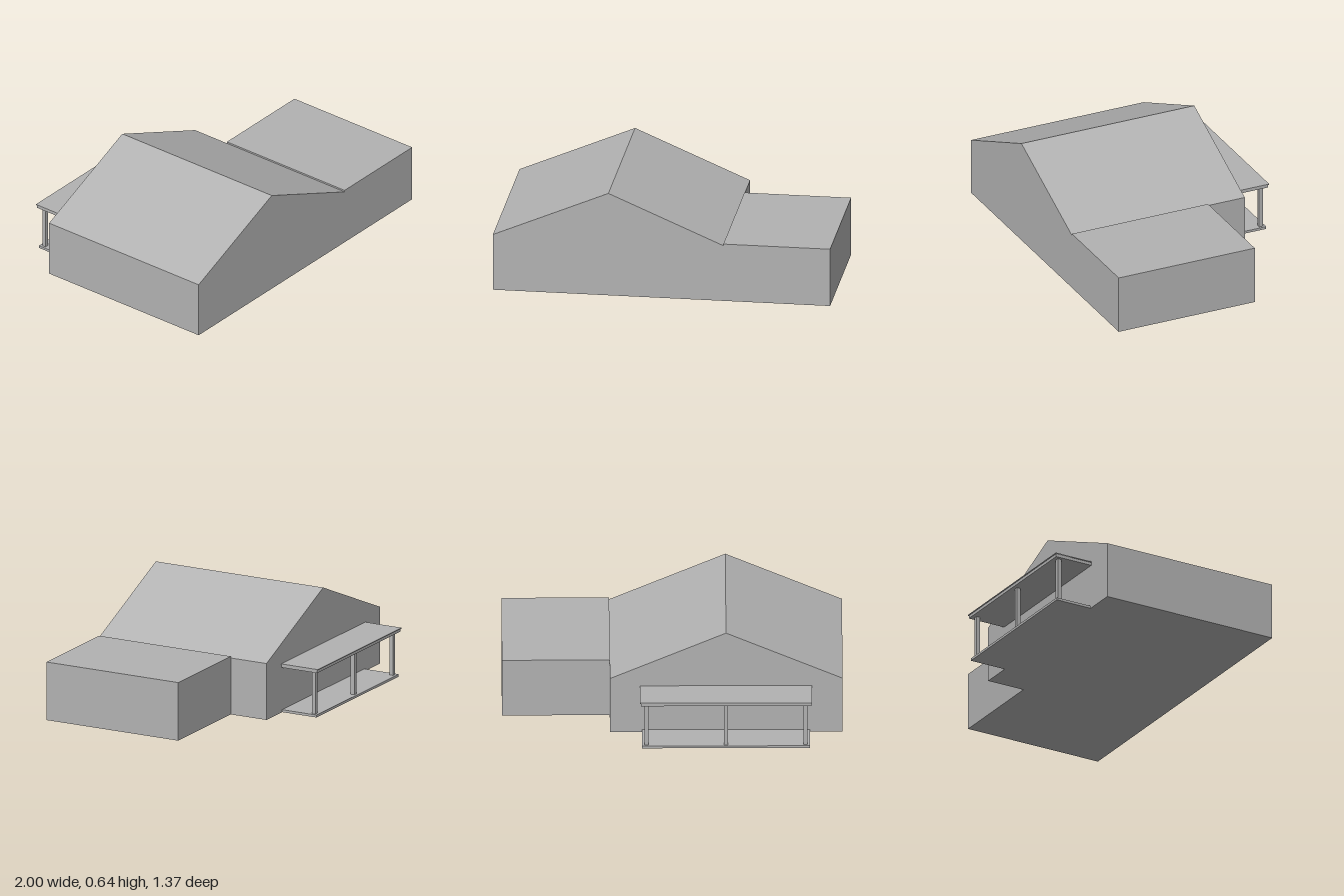
import * as THREE from 'three';

export function createModel() {
  const group = new THREE.Group();
  const grey = new THREE.MeshStandardMaterial({ color: 0xb2b2b2 });
  grey.name = 'plain grey';

  // Box given by its minimum and maximum corners
  function box(name, [x0, y0, z0], [x1, y1, z1]) {
    const mesh = new THREE.Mesh(new THREE.BoxGeometry(x1 - x0, y1 - y0, z1 - z0), grey);
    mesh.position.set((x0 + x1) / 2, (y0 + y1) / 2, (z0 + z1) / 2);
    mesh.name = name;
    group.add(mesh);
  }

  const front = 0.685, houseBack = -0.442, eaveX = 0.367, ridgeX = -0.315;

  // Main house: gabled profile extruded from back to front
  const gable = new THREE.Shape([
    [-1, 0], [eaveX, 0], [eaveX, 0.345], [ridgeX, 0.637], [-1, 0.345],
  ].map(([x, y]) => new THREE.Vector2(x, y)));
  const house = new THREE.Mesh(
    new THREE.ExtrudeGeometry(gable, { depth: front - houseBack, bevelEnabled: false }), grey);
  house.position.z = houseBack;
  house.name = 'gabledHouse';
  group.add(house);

  // Flat-roofed side wing, just above the eave
  box('sideWing', [eaveX, 0, -0.202], [1, 0.355, front]);

  // Rear porch: deck, canopy with a thin projecting lip, and three posts
  box('porchDeck', [-0.808, 0, -0.673], [0.178, 0.015, houseBack]);
  box('canopySlab', [-0.816, 0.275, -0.682], [0.186, 0.293, houseBack]);
  box('canopyLip', [-0.82, 0.293, -0.687], [0.19, 0.298, houseBack]);
  for (const offset of [-0.467, 0, 0.467]) {
    const x = ridgeX + offset;
    box('porchPost', [x - 0.012, 0.015, -0.658], [x + 0.012, 0.275, -0.634]);
  }

  return group;
}
